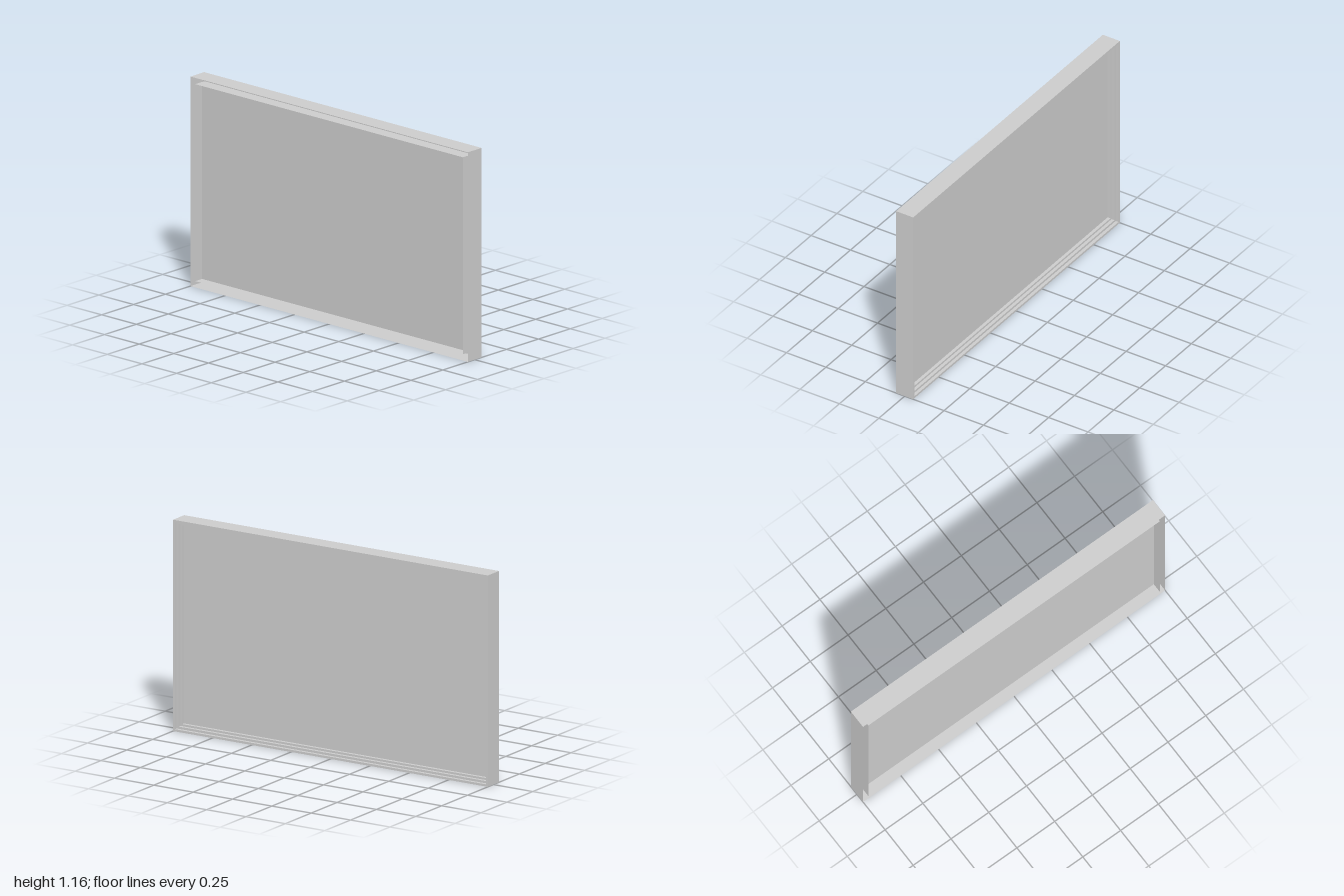
import * as THREE from 'three';

const W = 2, H = 1.165, D = 0.054, BORDER = 0.035;

// Sweep a profile of [inset, z] points around a mitred rectangle
function rectSweep(profile) {
  const corners = [[1, -1], [1, 1], [-1, 1], [-1, -1]];
  const at = ([inset, z], [sx, sy]) => [
    sx * (W / 2 - inset), H / 2 + sy * (H / 2 - inset), z];
  const pos = [];
  for (let i = 0; i < profile.length - 1; i++) {
    for (let k = 0; k < 4; k++) {
      const a = at(profile[i], corners[k]);
      const b = at(profile[i], corners[(k + 1) % 4]);
      const c = at(profile[i + 1], corners[(k + 1) % 4]);
      const d = at(profile[i + 1], corners[k]);
      pos.push(...a, ...b, ...c, ...a, ...c, ...d);
    }
  }
  const geo = new THREE.BufferGeometry();
  geo.setAttribute('position', new THREE.Float32BufferAttribute(pos, 3));
  geo.computeVertexNormals();
  return geo;
}

export function createModel() {
  const group = new THREE.Group();
  const material = new THREE.MeshStandardMaterial({
    color: 0xcccccc, side: THREE.DoubleSide, flatShading: true });

  const add = (name, geometry) => {
    const mesh = new THREE.Mesh(geometry, material);
    mesh.name = name;
    group.add(mesh);
    return mesh;
  };

  // Thin-walled frame: outer wall, stepped back, inner wall; channel open to the front
  add('frame', rectSweep([
    [0, D], [0, -D],
    [0.012, -D], [0.012, -0.036],
    [0.024, -0.036], [0.024, -0.018],
    [BORDER, -0.018], [BORDER, D],
  ]));

  // Recessed sheet halfway through the frame
  add('panel', new THREE.PlaneGeometry(W - 2 * BORDER, H - 2 * BORDER))
    .position.set(0, H / 2, 0);

  return group;
}
